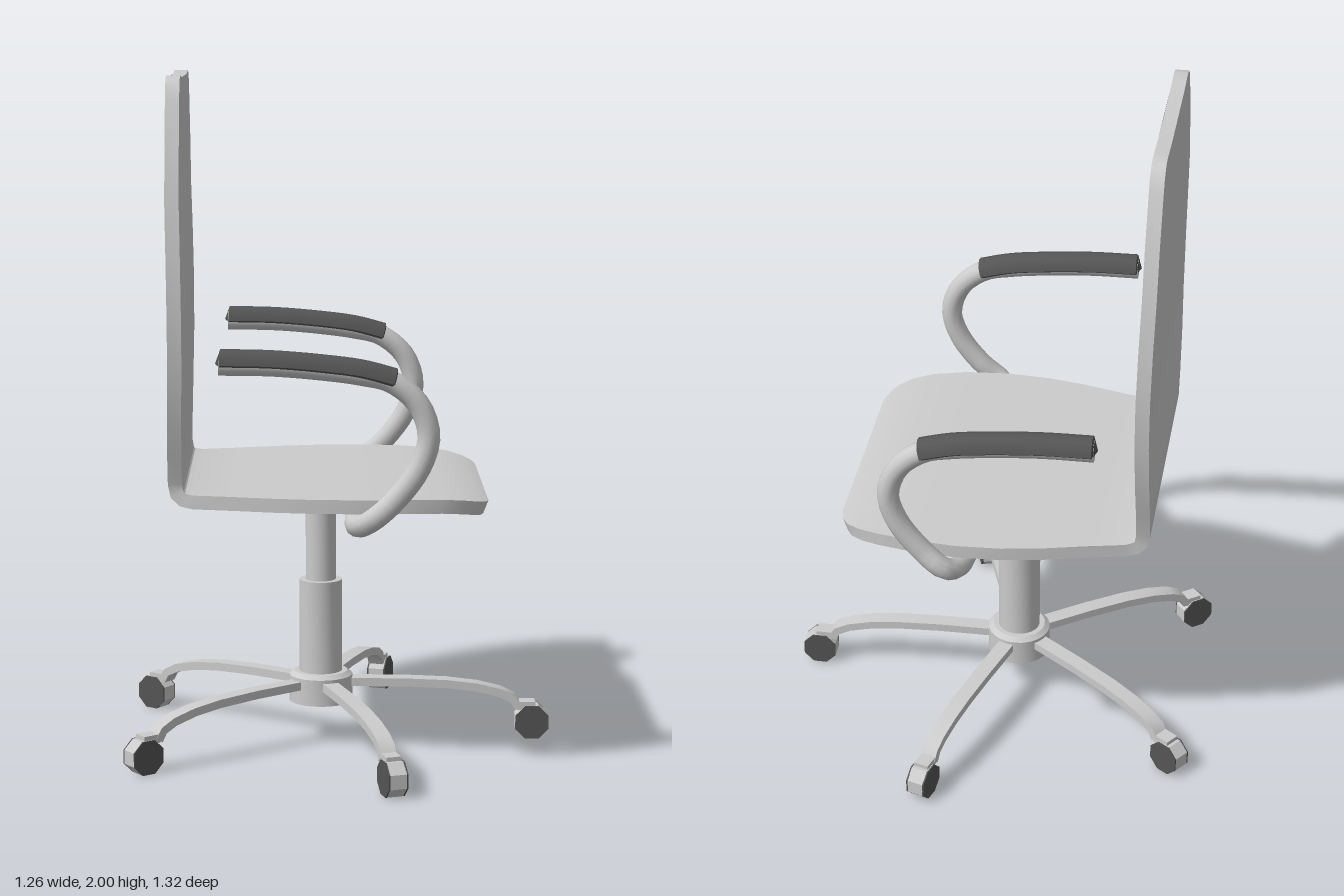
import * as THREE from 'three';
import { toCreasedNormals } from 'three/addons/utils/BufferGeometryUtils.js';

const grey = new THREE.MeshStandardMaterial({ color: 0xcccccc });
const dark = new THREE.MeshStandardMaterial({ color: 0x555555 });
const COLUMN_X = -0.063;

function add(parent, name, geometry, material = grey) {
  const mesh = new THREE.Mesh(geometry, material);
  mesh.name = name;
  parent.add(mesh);
  return mesh;
}

// Bent plate: sections of [x, y, halfWidth] along a path, with an optional dip in the first edge
function plate(sections, thickness, cols, dip = 0) {
  const pos = [], idx = [], M = 2 * (cols + 1), last = sections.length - 1;
  sections.forEach(([x, y, hw], i) => {
    const p = sections[Math.max(i - 1, 0)], q = sections[Math.min(i + 1, last)];
    const d = new THREE.Vector2(q[0] - p[0], q[1] - p[1]).normalize();
    for (let j = 0; j < M; j++) {
      const inner = j <= cols;
      const u = ((inner ? j : M - 1 - j) / cols) * 2 - 1;
      const t = (inner ? 0.5 : -0.5) * thickness;
      const s = i === 0 ? dip * (1 - u * u) : 0;
      pos.push(x - d.y * t + d.x * s, y + d.x * t + d.y * s, u * hw);
    }
  });
  for (let i = 0; i < last; i++) {
    for (let j = 0; j < M; j++) {
      const a = i * M + j, b = i * M + ((j + 1) % M), c = a + M, e = b + M;
      idx.push(a, b, c, b, e, c);
    }
  }
  // End edges
  for (let k = 0; k < cols; k++) {
    const o = last * M;
    const [p, q, r, s] = [k, k + 1, M - 1 - k, M - 2 - k];
    idx.push(p, r, q, q, r, s);
    idx.push(o + p, o + q, o + r, o + q, o + s, o + r);
  }
  const g = new THREE.BufferGeometry();
  g.setAttribute('position', new THREE.Float32BufferAttribute(pos, 3));
  g.setIndex(idx);
  return toCreasedNormals(g, 0.6);
}

// Half-round pad over a tube: lower half flattened, ends drawn in to close them
function padGeometry(path) {
  const n = 36, sides = 12;
  const g = new THREE.TubeGeometry(path, n, 0.042, sides, false);
  const p = g.attributes.position;
  for (let v = 0; v < p.count; v++) {
    const ring = Math.floor(v / (sides + 1));
    const c = path.getPointAt(ring / n);
    if (ring === 0 || ring === n) p.setXYZ(v, c.x, c.y, c.z);
    else p.setY(v, Math.max(p.getY(v), c.y - 0.005));
  }
  return toCreasedNormals(g, 0.7);
}

export function createModel() {
  const chair = new THREE.Group();
  chair.name = 'officeChair';

  // Backrest and seat in one bent shell, from the top edge to the drooping front edge
  add(chair, 'seatShell', plate([
    [-0.48, 2.0, 0.27], [-0.48, 1.992, 0.305], [-0.48, 1.97, 0.332], [-0.48, 1.93, 0.352],
    [-0.48, 1.8, 0.405], [-0.48, 1.65, 0.443], [-0.477, 1.5, 0.468], [-0.475, 1.35, 0.48],
    [-0.475, 1.2, 0.473], [-0.478, 1.05, 0.45], [-0.48, 0.93, 0.415], [-0.48, 0.85, 0.393],
    [-0.474, 0.82, 0.388], [-0.46, 0.806, 0.39], [-0.43, 0.8, 0.398], [-0.32, 0.8, 0.422],
    [-0.2, 0.8, 0.452], [-0.08, 0.8, 0.473], [0.05, 0.8, 0.48], [0.18, 0.799, 0.47],
    [0.28, 0.795, 0.448], [0.34, 0.788, 0.423], [0.38, 0.779, 0.39], [0.4, 0.773, 0.355],
    [0.41, 0.769, 0.31],
  ], 0.04, 10, 0.012));

  // Armrest frame: one tube from pad to pad, passing under the seat
  const side = [
    [-0.35, 1.213], [-0.2, 1.21], [-0.05, 1.197], [0.05, 1.183], [0.13, 1.163], [0.205, 1.1],
    [0.235, 1.01], [0.21, 0.92], [0.14, 0.825], [0.075, 0.768],
  ];
  const arm = (s) => side.map(([x, y]) => new THREE.Vector3(x, y, s * 0.522));
  const under = [0.46, 0.2, -0.2, -0.46].map((z) => new THREE.Vector3(0.04, 0.742, z));
  const frame = new THREE.CatmullRomCurve3([...arm(1), ...under, ...arm(-1).reverse()]);
  add(chair, 'armrestFrame', new THREE.TubeGeometry(frame, 110, 0.032, 12));
  for (const s of [1, -1]) {
    const name = s > 0 ? 'Left' : 'Right';
    const end = add(chair, 'tubeEnd' + name, new THREE.CircleGeometry(0.032, 12));
    end.position.set(-0.35, 1.213, s * 0.522);
    end.rotation.y = -Math.PI / 2;
    const padPath = new THREE.CatmullRomCurve3([
      new THREE.Vector3(-0.36, 1.214, s * 0.522), ...arm(s).slice(1, 4),
      new THREE.Vector3(0.15, 1.156, s * 0.522),
    ]);
    add(chair, 'armrestPad' + name, padGeometry(padPath), dark);
  }

  // Hub and two-stage column
  const base = new THREE.Group();
  base.name = 'base';
  base.position.x = COLUMN_X;
  chair.add(base);
  const profile = [
    [0, 0.12], [0.095, 0.12], [0.095, 0.2], [0.08, 0.212], [0.064, 0.212], [0.064, 0.492],
    [0.045, 0.492], [0.045, 0.785], [0, 0.785],
  ].map(([r, y]) => new THREE.Vector2(r, y));
  add(base, 'hubAndColumn', toCreasedNormals(new THREE.LatheGeometry(profile, 24), 0.5));

  // Five curved legs with casters
  const legGeometry = plate([
    [0.05, 0.178, 0.024], [0.25, 0.176, 0.024], [0.38, 0.17, 0.024], [0.47, 0.159, 0.024],
    [0.54, 0.142, 0.024], [0.58, 0.122, 0.024], [0.597, 0.095, 0.024],
  ], 0.025, 1);
  const wheelGeometry = (r, width) =>
    new THREE.CylinderGeometry(r, r, width, 8).rotateY(Math.PI / 8).rotateX(Math.PI / 2).toNonIndexed();
  const core = wheelGeometry(0.054, 0.05);
  const disc = wheelGeometry(0.054, 0.005);
  for (const g of [core, disc]) g.computeVertexNormals();
  const fork = new THREE.BoxGeometry(0.055, 0.025, 0.045);
  for (let k = 0; k < 5; k++) {
    const leg = new THREE.Group();
    leg.name = 'leg' + (k + 1);
    leg.rotation.y = (k * Math.PI * 2) / 5;
    base.add(leg);
    add(leg, 'legArm', legGeometry);
    add(leg, 'casterFork', fork).position.set(0.62, 0.101, 0);
    add(leg, 'casterWheel', core).position.set(0.637, 0.051, 0);
    for (const s of [1, -1]) {
      add(leg, 'wheelCover', disc, dark).position.set(0.637, 0.051, s * 0.0265);
    }
  }
  return chair;
}
